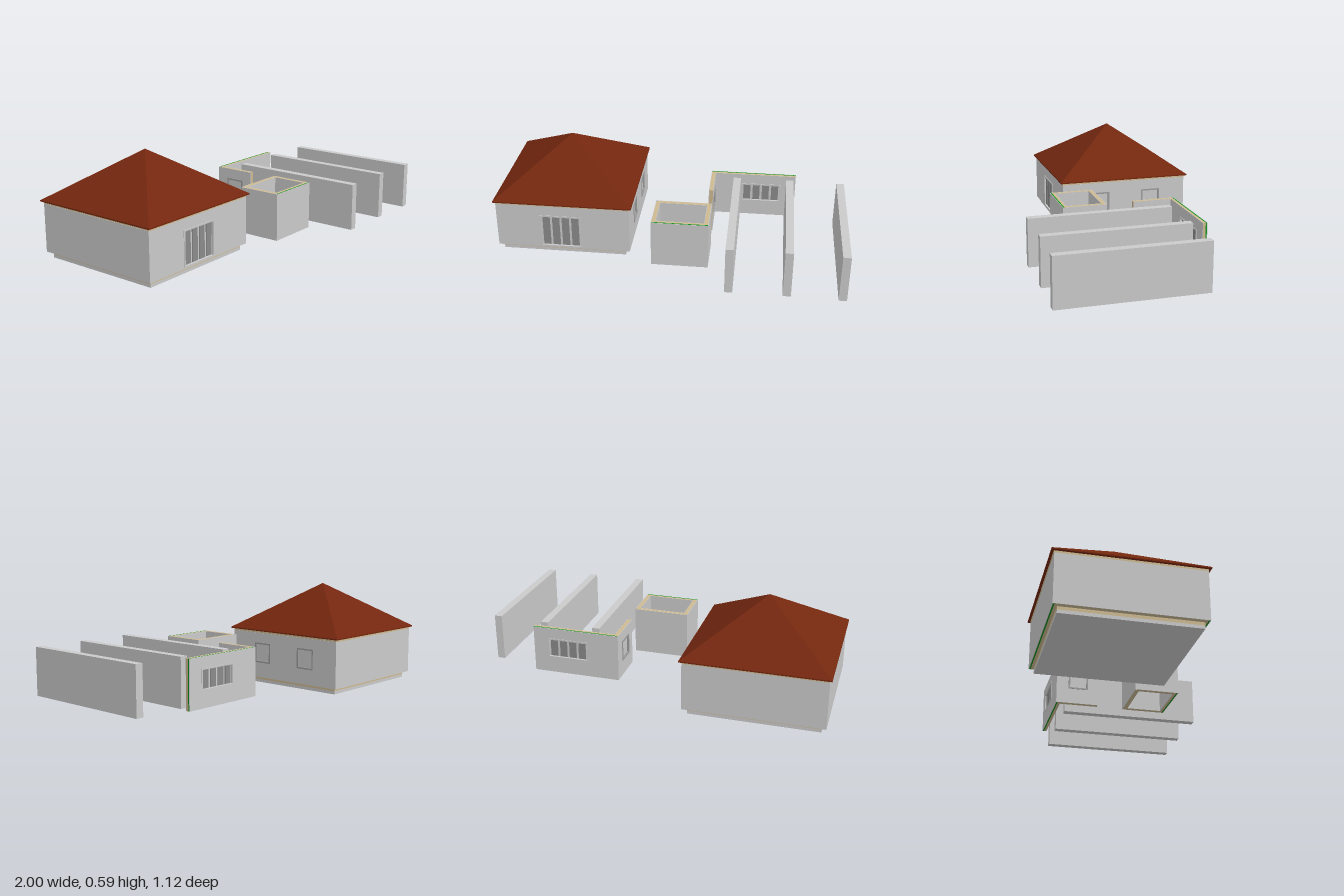
import * as THREE from 'three';

const mat = (name, color, flat = false) => {
  const m = new THREE.MeshStandardMaterial({ color });
  m.name = name;
  m.flatShading = flat;
  return m;
};

export function createModel() {
  const model = new THREE.Group();
  model.name = 'houseWithWallSections';
  const M = {
    plaster: mat('plasterGrey', 0xcacaca),
    frame: mat('frameGrey', 0x9c9c9c),
    louver: mat('louverGrey', 0x8a8a8a),
    core: mat('coreTan', 0xcdb98f),
    green: mat('insulationGreen', 0x10901c),
    roof: mat('roofRed', 0x74270f, true),
  };
  const BASE = 0.035, HEIGHT = 0.27, THICK = 0.026;

  // Box given by its minimum and maximum corners
  function box(parent, name, material, a, b) {
    const g = new THREE.BoxGeometry(b[0] - a[0], b[1] - a[1], b[2] - a[2]);
    g.translate((a[0] + b[0]) / 2, (a[1] + b[1]) / 2, (a[2] + b[2]) / 2);
    const mesh = new THREE.Mesh(g, material);
    mesh.name = name;
    parent.add(mesh);
  }

  function rectPath(P, x0, y0, x1, y1) {
    const p = new P();
    p.moveTo(x0, y0); p.lineTo(x1, y0); p.lineTo(x1, y1); p.lineTo(x0, y1);
    p.closePath();
    return p;
  }

  // Upright plate from z = -d1 to -d0 with rectangular holes
  function plate(parent, name, material, r, holes, d0, d1) {
    const s = rectPath(THREE.Shape, ...r);
    s.holes = holes.map(h => rectPath(THREE.Path, ...h));
    const g = new THREE.ExtrudeGeometry(s, { depth: d1 - d0, bevelEnabled: false });
    g.translate(0, 0, -d1);
    const mesh = new THREE.Mesh(g, material);
    mesh.name = name;
    parent.add(mesh);
  }

  // Framed opening: a plain pane, or four louvered panels
  function opening(parent, { rect: [x0, y0, x1, y1], louvered }) {
    const f = 0.009;
    const inner = [x0 + f, y0 + f, x1 - f, y1 - f];
    plate(parent, 'windowFrame', louvered ? M.plaster : M.frame, [x0, y0, x1, y1], [inner], -0.003, THICK + 0.003);
    plate(parent, 'windowPane', M.plaster, inner, [], 0.008, 0.018);
    if (!louvered) return;
    const pitch = (inner[2] - inner[0]) / 4;
    for (let i = 0; i < 4; i++) {
      const cx = inner[0] + pitch * (i + 0.5);
      plate(parent, 'louverPanel', M.louver, [cx - 0.021, inner[1] + 0.003, cx + 0.021, inner[3] - 0.003], [], 0.004, 0.022);
    }
  }

  // Layered wall: plaster skins around a tan core, optional green layer.
  // Outer face is local z = 0; joined ends are stepped back to meet the next wall.
  function wall(parent, name, length, pos, angle, { green = false, windows = [], join = [1, 1] } = {}) {
    const g = new THREE.Group();
    g.name = name;
    const holes = windows.map(w => w.rect);
    const layer = (n, m, d0, d1, inset) =>
      plate(g, n, m, [-length / 2 + inset * join[0], 0, length / 2 - inset * join[1], HEIGHT], holes, d0, d1);
    layer('outerPlaster', M.plaster, 0, 0.003, 0);
    if (green) layer('insulation', M.green, 0.003, 0.01, 0.003);
    layer('wallCore', M.core, green ? 0.01 : 0.003, 0.024, 0.01);
    layer('innerPlaster', M.plaster, 0.024, THICK, 0.024);
    windows.forEach(w => opening(g, w));
    g.position.set(pos[0], BASE, pos[1]);
    g.rotation.y = angle;
    parent.add(g);
  }

  // Closed ring of four walls
  function room(parent, x0, x1, z0, z1, opts) {
    const cx = (x0 + x1) / 2, cz = (z0 + z1) / 2, w = x1 - x0, d = z1 - z0;
    wall(parent, 'frontWall', w, [cx, z1], 0, opts.front);
    wall(parent, 'backWall', w, [cx, z0], Math.PI, opts.back);
    wall(parent, 'leftWall', d, [x1, cz], Math.PI / 2, opts.left);
    wall(parent, 'rightWall', d, [x0, cz], -Math.PI / 2, opts.right);
  }

  // House
  const house = new THREE.Group();
  house.name = 'house';
  model.add(house);
  const hx = -0.603, hz = -0.168;
  box(house, 'foundation', M.plaster, [-0.962, 0, -0.525], [-0.244, 0.018, 0.193]);
  box(house, 'floorSlab', M.core, [-0.962, 0.018, -0.525], [-0.244, BASE, 0.193]);
  const sideWindow = z => ({ rect: [hz - z - 0.058, 0.09, hz - z + 0.058, 0.21] });
  room(house, -0.988, -0.218, -0.55, 0.215, {
    front: { green: true, windows: [{ rect: [-0.735 - hx, 0.006, -0.495 - hx, 0.21], louvered: true }] },
    back: { green: true },
    left: { windows: [sideWindow(-0.015), sideWindow(-0.333)] },
  });
  box(house, 'wallPlate', M.core, [-0.986, BASE + HEIGHT, -0.552], [-0.22, 0.317, 0.217]);
  box(house, 'eaves', M.roof, [-1, 0.317, -0.565], [-0.205, 0.324, 0.229]);
  const roofGeo = new THREE.CylinderGeometry(0, 0.397 * Math.SQRT2, 0.266, 4, 1);
  roofGeo.rotateY(Math.PI / 4);
  const roof = new THREE.Mesh(roofGeo, M.roof);
  roof.name = 'hipRoof';
  roof.position.set(hx, 0.324 + 0.133, hz);
  house.add(roof);

  // Small open room
  const small = new THREE.Group();
  small.name = 'openRoom';
  model.add(small);
  room(small, -0.08, 0.24, 0.075, 0.326, { front: { green: true } });

  // L-shaped corner wall
  const corner = new THREE.Group();
  corner.name = 'cornerWalls';
  model.add(corner);
  const lx = (0.21 + 0.716) / 2, lz = (-0.327 - 0.08) / 2;
  wall(corner, 'longWall', 0.506, [lx, -0.327], Math.PI, {
    green: true, join: [0, 1],
    windows: [{ rect: [lx - 0.632, 0.09, lx - 0.39, 0.21], louvered: true }],
  });
  wall(corner, 'shortWall', 0.247, [0.21, lz], -Math.PI / 2, {
    join: [1, 0],
    windows: [{ rect: [-0.198 - lz - 0.058, 0.09, -0.198 - lz + 0.058, 0.21] }],
  });

  // Free-standing partition walls: core with a skin on each side
  for (const [x, z0, z1] of [[0.368, -0.253, 0.552], [0.681, -0.253, 0.552], [0.976, -0.245, 0.56]]) {
    const g = new THREE.Group();
    g.name = 'partitionWall';
    model.add(g);
    const top = BASE + HEIGHT;
    box(g, 'partitionCore', M.plaster, [x - 0.012, BASE, z0], [x + 0.012, top, z1]);
    for (const s of [-1, 1]) {
      box(g, 'partitionSkin', M.plaster, [x + s * 0.017 - 0.005, BASE, z0], [x + s * 0.017 + 0.005, top, z1]);
    }
  }
  return model;
}
